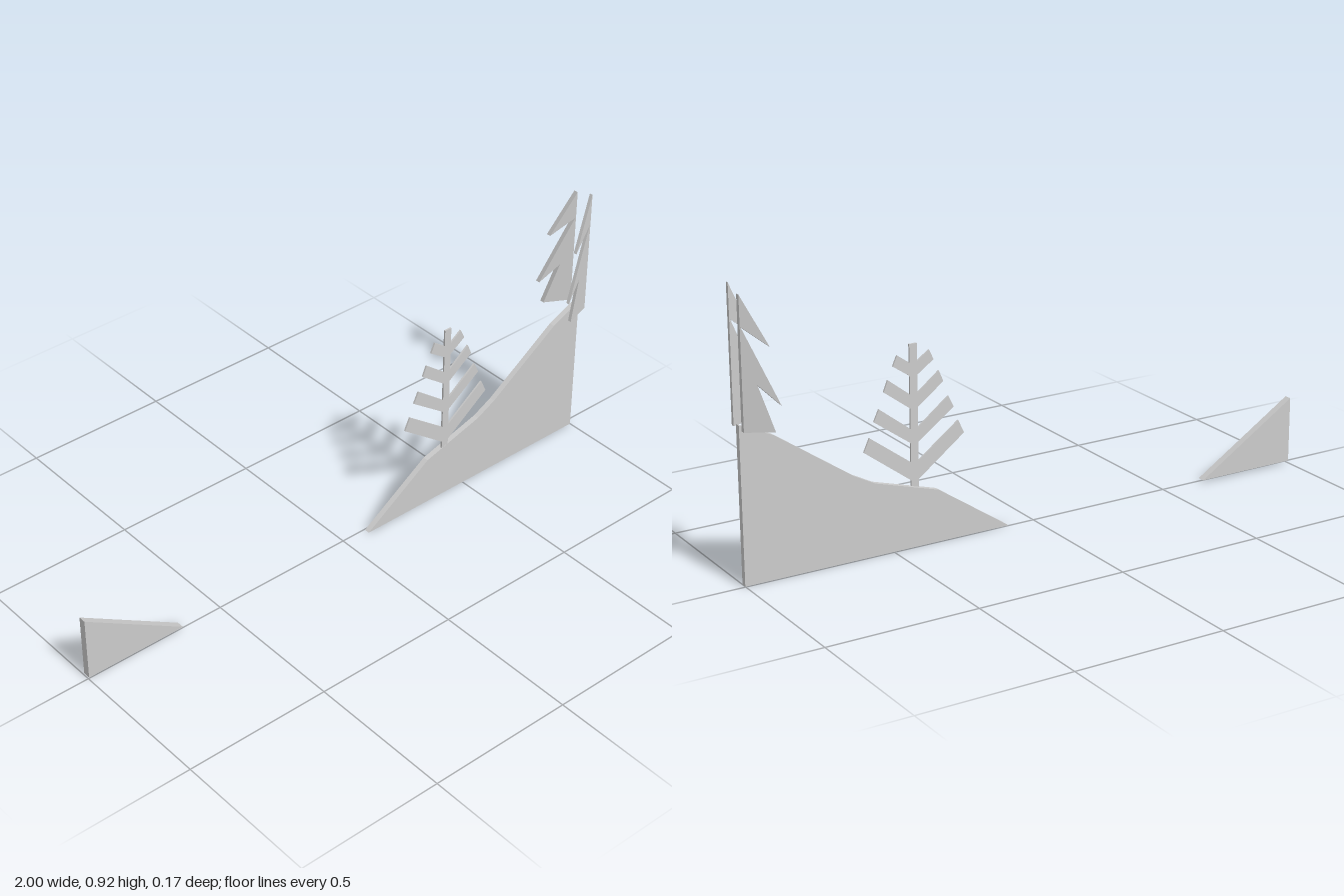
import * as THREE from 'three';

const material = new THREE.MeshStandardMaterial({ color: 0xcccccc, flatShading: true });

// Flat cut-out between z0 and z1; slant shifts z as the outline leaves x = 1.
function cutout(name, points, z0, z1, slant = 0) {
  const shape = new THREE.Shape(points.map(([x, y]) => new THREE.Vector2(x, y)));
  const geometry = new THREE.ExtrudeGeometry(shape, { depth: z1 - z0, bevelEnabled: false });
  const p = geometry.attributes.position;
  for (let i = 0; i < p.count; i++) p.setZ(i, p.getZ(i) + z0 + slant * (1 - p.getX(i)));
  geometry.computeVertexNormals();
  const mesh = new THREE.Mesh(geometry, material);
  mesh.name = name;
  return mesh;
}

export function createModel() {
  const model = new THREE.Group();
  model.name = 'hillsideScenery';

  // Ground pieces
  model.add(cutout('smallSlope', [[-1, 0.008], [-0.648, 0.008], [-1, 0.229]], -0.02, 0.005));
  model.add(cutout('hill', [
    [0.09, 0], [1, 0], [1, 0.502], [0.89, 0.452], [0.63, 0.272], [0.56, 0.235], [0.34, 0.17],
  ], 0.003, 0.022));

  // Bare tree: one outline, with the right half mirrored to the left
  const cx = 0.415, trunk = 0.013;
  // Per branch: lower root y, lower tip x/y, upper tip x/y, upper root y
  const branches = [
    [0.214, 0.174, 0.334, 0.154, 0.377, 0.273],
    [0.334, 0.138, 0.424, 0.12, 0.462, 0.38],
    [0.445, 0.103, 0.512, 0.088, 0.548, 0.49],
    [0.548, 0.07, 0.587, 0.055, 0.62, 0.59],
  ];
  const half = [[trunk, 0.18]];
  for (const [rootLow, lx, ly, ux, uy, rootHigh] of branches) {
    half.push([trunk, rootLow], [lx, ly], [ux, uy], [trunk, rootHigh]);
  }
  half.push([trunk, 0.648]);
  const outline = [
    ...half.map(([x, y]) => [cx + x, y]),
    ...half.slice().reverse().map(([x, y]) => [cx - x, y]),
  ];
  model.add(cutout('bareTree', outline, 0.015, 0.021));

  // Two angled half pines on the hilltop
  model.add(cutout('frontPine', [
    [1, 0.49], [1, 0.922], [0.915, 0.746], [0.997, 0.813],
    [0.886, 0.571], [0.947, 0.632], [0.907, 0.49],
  ], 0.038, 0.05, 0.32));
  model.add(cutout('backPine', [
    [1, 0.49], [1, 0.902], [0.928, 0.747], [0.998, 0.806],
    [0.904, 0.571], [0.962, 0.633], [0.92, 0.49],
  ], -0.03, -0.015, -0.57));

  return model;
}
